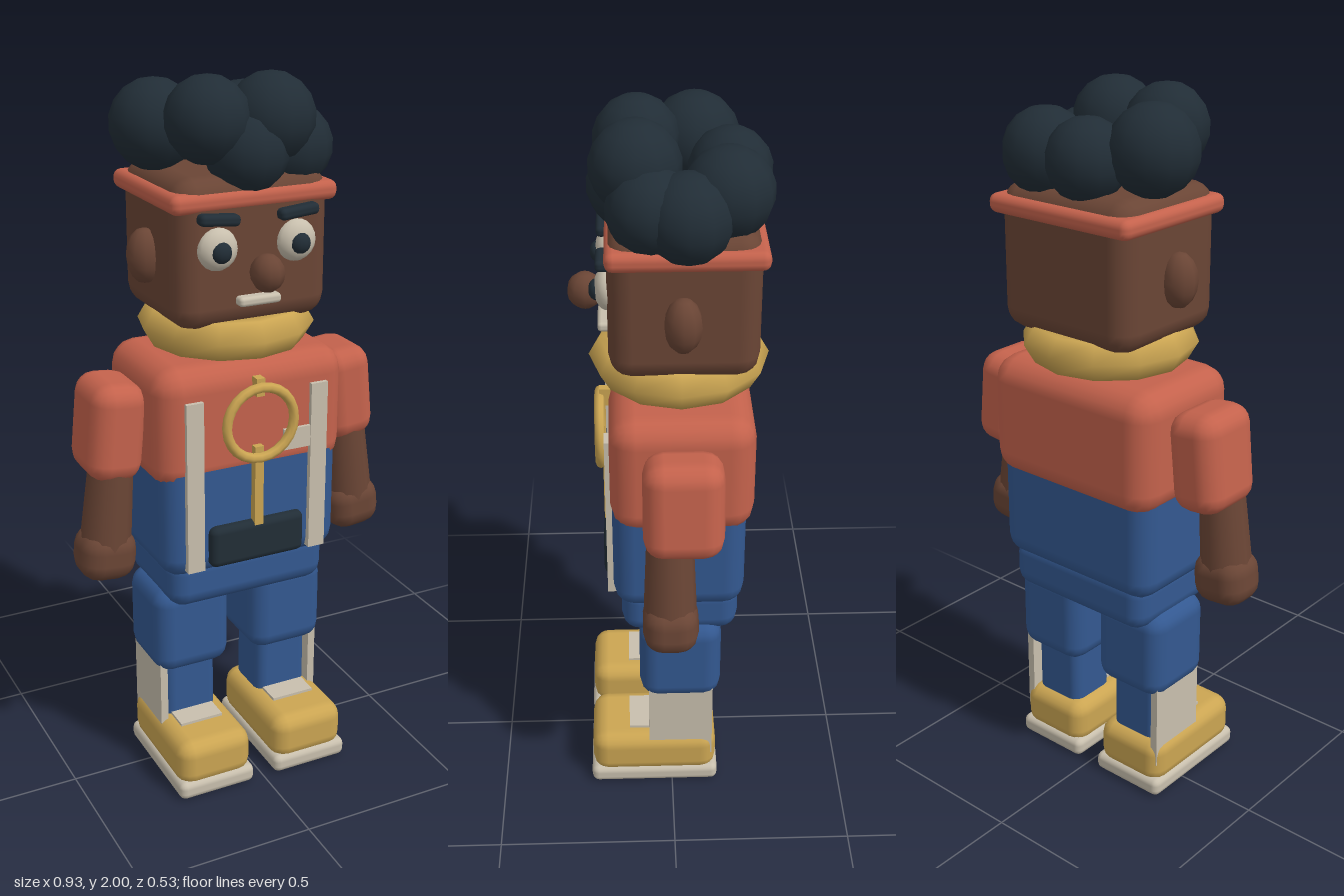
import * as THREE from 'three';
import { RoundedBoxGeometry } from 'three/addons/geometries/RoundedBoxGeometry.js';

export function createModel() {
  const root = new THREE.Group();
  root.name = 'toyFigure';

  const mat = (name, color) => {
    const m = new THREE.MeshStandardMaterial({ color });
    m.name = name;
    return m;
  };
  const skin = mat('brownSkin', 0x6a4535);
  const coral = mat('coralCloth', 0xc4624c);
  const denim = mat('blueDenim', 0x335890);
  const gold = mat('gold', 0xcba552);
  const cream = mat('cream', 0xc8bfad);
  const dark = mat('darkNavy', 0x212d36);

  const add = (name, geometry, material, [x, y, z], parent = root) => {
    const mesh = new THREE.Mesh(geometry, material);
    mesh.name = name;
    mesh.position.set(x, y, z);
    parent.add(mesh);
    return mesh;
  };
  // Rounded box given by its limits on each axis
  const block = (name, material, [x0, x1], [y0, y1], [z0, z1], radius, parent = root) =>
    add(name, new RoundedBoxGeometry(x1 - x0, y1 - y0, z1 - z0, 2, radius), material,
      [(x0 + x1) / 2, (y0 + y1) / 2, (z0 + z1) / 2], parent);
  const ball = (name, material, centre, [rx, ry, rz], parent = root, w = 14, h = 10) => {
    const mesh = add(name, new THREE.SphereGeometry(1, w, h), material, centre, parent);
    mesh.scale.set(rx, ry, rz);
    return mesh;
  };

  // Body
  block('shirt', coral, [-0.28, 0.28], [0.92, 1.265], [-0.22, 0.165], 0.07);
  const bib = block('overallsBody', denim, [-0.266, 0.266], [0.66, 1.04], [-0.2, 0.162], 0.06);
  // Flatten the top edge of the overalls so it ends in a straight line under the shirt
  const bibPos = bib.geometry.attributes.position;
  for (let i = 0; i < bibPos.count; i++) bibPos.setY(i, Math.min(bibPos.getY(i), 0.125));
  block('hips', denim, [-0.24, 0.24], [0.555, 0.71], [-0.185, 0.14], 0.05);
  add('neck', new THREE.CylinderGeometry(0.105, 0.105, 0.16, 12), skin, [0, 1.32, -0.03]);
  const collar = add('collar', new THREE.TorusGeometry(0.182, 0.058, 6, 12), gold, [0, 1.33, -0.025]);
  collar.rotation.x = Math.PI / 2;

  // Head
  const head = new THREE.Group();
  head.name = 'head';
  root.add(head);
  block('face', skin, [-0.22, 0.22], [1.36, 1.755], [-0.225, 0.16], 0.06, head);
  block('headband', coral, [-0.235, 0.235], [1.67, 1.722], [-0.24, 0.165], 0.022, head);
  ball('nose', skin, [0, 1.518, 0.218], [0.045, 0.05, 0.048], head, 10, 8);
  block('mouth', cream, [-0.06, 0.06], [1.424, 1.45], [0.14, 0.188], 0.01, head);
  for (const s of [-1, 1]) {
    ball('ear', skin, [s * 0.232, 1.532, -0.027], [0.05, 0.074, 0.049], head, 10, 8);
    ball('eye', cream, [s * 0.112, 1.578, 0.158], [0.056, 0.056, 0.036], head);
    ball('pupil', dark, [s * 0.112, 1.575, 0.186], [0.028, 0.028, 0.021], head, 10, 8);
    const brow = block('eyebrow', dark, [s * 0.112 - 0.056, s * 0.112 + 0.056], [1.64, 1.67], [0.14, 0.188], 0.012, head);
    brow.rotation.z = s * 0.09;
  }

  // Ring of curls: x, y, z, radius
  const curls = [
    [-0.18, 1.86, -0.07, 0.118], [-0.035, 1.83, -0.153, 0.108],
    [0.115, 1.83, -0.14, 0.115], [0.178, 1.79, -0.04, 0.114],
    [0.15, 1.8, 0.05, 0.112], [0.075, 1.882, 0.085, 0.116],
    [-0.1, 1.887, 0.08, 0.112], [0, 1.805, 0.098, 0.11],
  ];
  for (const [x, y, z, r] of curls) ball('hairCurl', dark, [x, y, z], [r, r, r], head, 12, 9);

  // Arms and legs, mirrored by side
  for (const s of [-1, 1]) {
    const arm = new THREE.Group();
    arm.name = s > 0 ? 'leftArm' : 'rightArm';
    arm.position.set(s * 0.35, 1.08, -0.025);
    arm.rotation.z = s * 0.1;
    root.add(arm);
    block('sleeve', coral, [-0.077, 0.077], [-0.14, 0.135], [-0.106, 0.105], 0.055, arm);
    add('forearm', new THREE.CylinderGeometry(0.062, 0.072, 0.24, 12), skin, [0, -0.23, 0.035], arm);
    block('hand', skin, [-0.08, 0.08], [-0.43, -0.285], [-0.04, 0.108], 0.055, arm);

    const leg = new THREE.Group();
    leg.name = s > 0 ? 'leftLeg' : 'rightLeg';
    leg.position.x = s * 0.15;
    root.add(leg);
    block('thigh', denim, [-0.115, 0.115], [0.325, 0.59], [-0.14, 0.092], 0.05, leg);
    block('shin', denim, [-0.08, 0.08], [0.1, 0.4], [-0.1, 0.055], 0.03, leg);
    add('sidePanel', new THREE.BoxGeometry(0.022, 0.26, 0.185), cream, [s * 0.091, 0.23, -0.025], leg);
    block('shoe', gold, [-0.113, 0.113], [0.03, 0.172], [-0.13, 0.235], 0.045, leg);
    block('sole', cream, [-0.117, 0.117], [0, 0.055], [-0.135, 0.24], 0.02, leg);
    add('shoeTongue', new THREE.BoxGeometry(0.13, 0.02, 0.07), cream, [0, 0.17, 0.09], leg);

    // Straps
    add('strap', new THREE.BoxGeometry(0.05, 0.49, 0.045), cream, [s * 0.185, 0.935, 0.155]);
  }
  add('strapTab', new THREE.BoxGeometry(0.09, 0.06, 0.03), cream, [0.125, 1.03, 0.16]);

  // Chest ring, its stem and the pouch
  add('chestRing', new THREE.TorusGeometry(0.1, 0.014, 8, 24), gold, [0, 1.1, 0.19]);
  add('ringKnob', new THREE.BoxGeometry(0.024, 0.05, 0.03), gold, [0, 1.2, 0.175]);
  add('ringStem', new THREE.BoxGeometry(0.026, 0.25, 0.03), gold, [0, 0.905, 0.17]);
  block('pouch', dark, [-0.142, 0.142], [0.69, 0.81], [0.12, 0.187], 0.02);

  return root;
}
